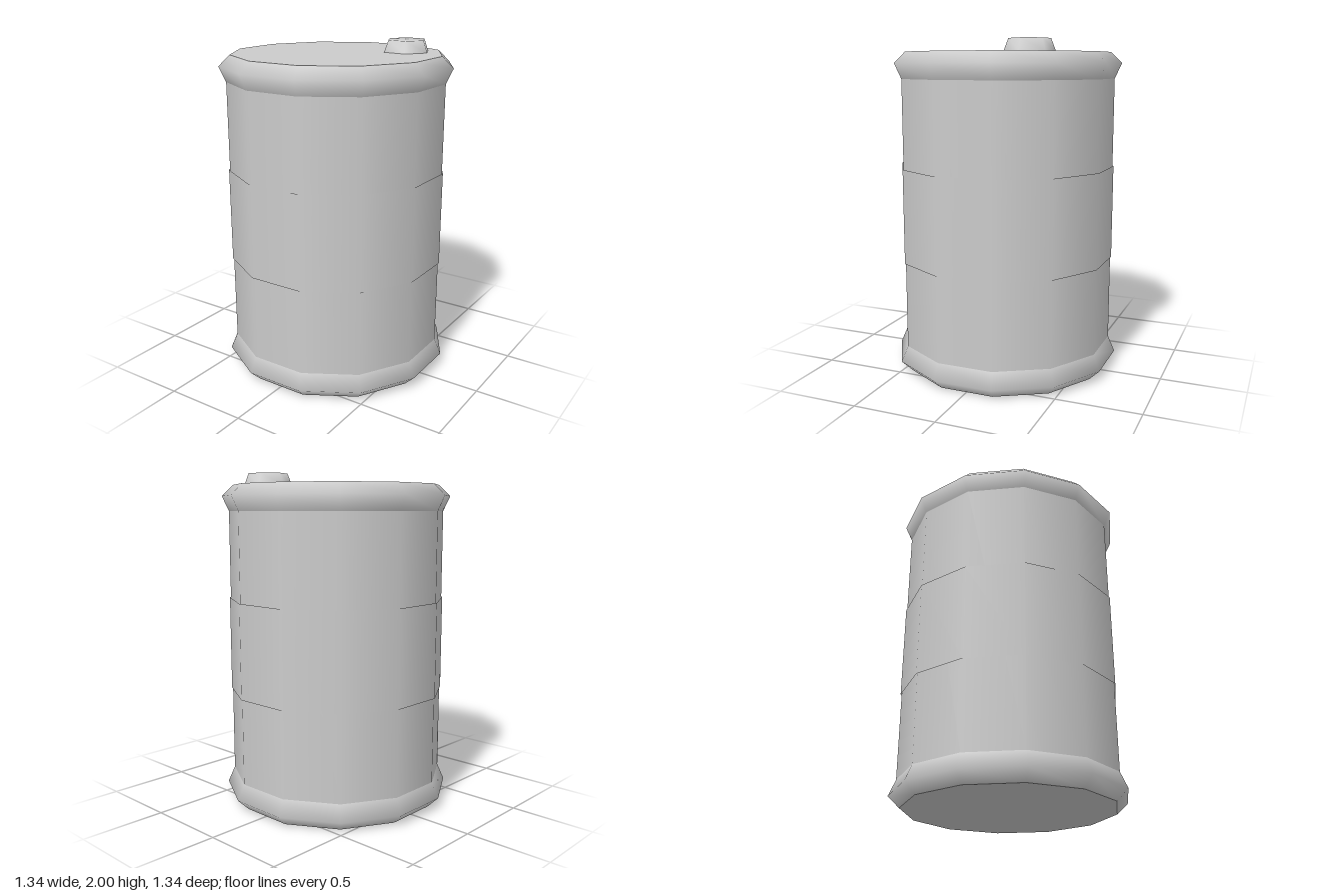
import * as THREE from 'three';

const SIDES = 12;
const TURN = Math.PI / SIDES; // flat sides face the axes
const K = 1 / Math.cos(TURN); // flat-to-centre distance -> corner radius

const material = new THREE.MeshStandardMaterial({ color: 0xcccccc });
const thin = new THREE.MeshStandardMaterial({ color: 0xcccccc, side: THREE.DoubleSide });

// Twelve-sided surface of revolution from [flat distance, height] points
function ring(name, profile, mat = material) {
  const points = profile.map(([d, y]) => new THREE.Vector2(d * K, y));
  const mesh = new THREE.Mesh(new THREE.LatheGeometry(points, SIDES, TURN), mat);
  mesh.name = name;
  return mesh;
}

export function createModel() {
  const drum = new THREE.Group();
  drum.name = 'drum';

  // Walls, with a slightly raised band around the middle
  drum.add(ring('body', [[0.63, 0.16], [0.63, 1.775]]));
  drum.add(ring('band', [[0.636, 0.68], [0.636, 1.25]], thin));

  // Flared rims
  drum.add(ring('bottomRim', [[0.605, 0], [0.67, 0.065], [0.63, 0.16]]));
  drum.add(ring('topRim', [[0.63, 1.775], [0.67, 1.865], [0.605, 1.93]]));

  // Flat ends
  drum.add(ring('base', [[0, 0], [0.605, 0]]));
  drum.add(ring('lid', [[0.605, 1.93], [0, 1.93]]));

  // Six-sided tapered bung near the back corner of the lid
  const profile = [[0.145, 1.93], [0.118, 2], [0, 2]].map(([r, y]) => new THREE.Vector2(r, y));
  const turn = THREE.MathUtils.degToRad(25);
  const bung = new THREE.Mesh(new THREE.LatheGeometry(profile, 6, turn), material);
  bung.name = 'bung';
  bung.position.set(0.316, 0, -0.269);
  drum.add(bung);

  return drum;
}
